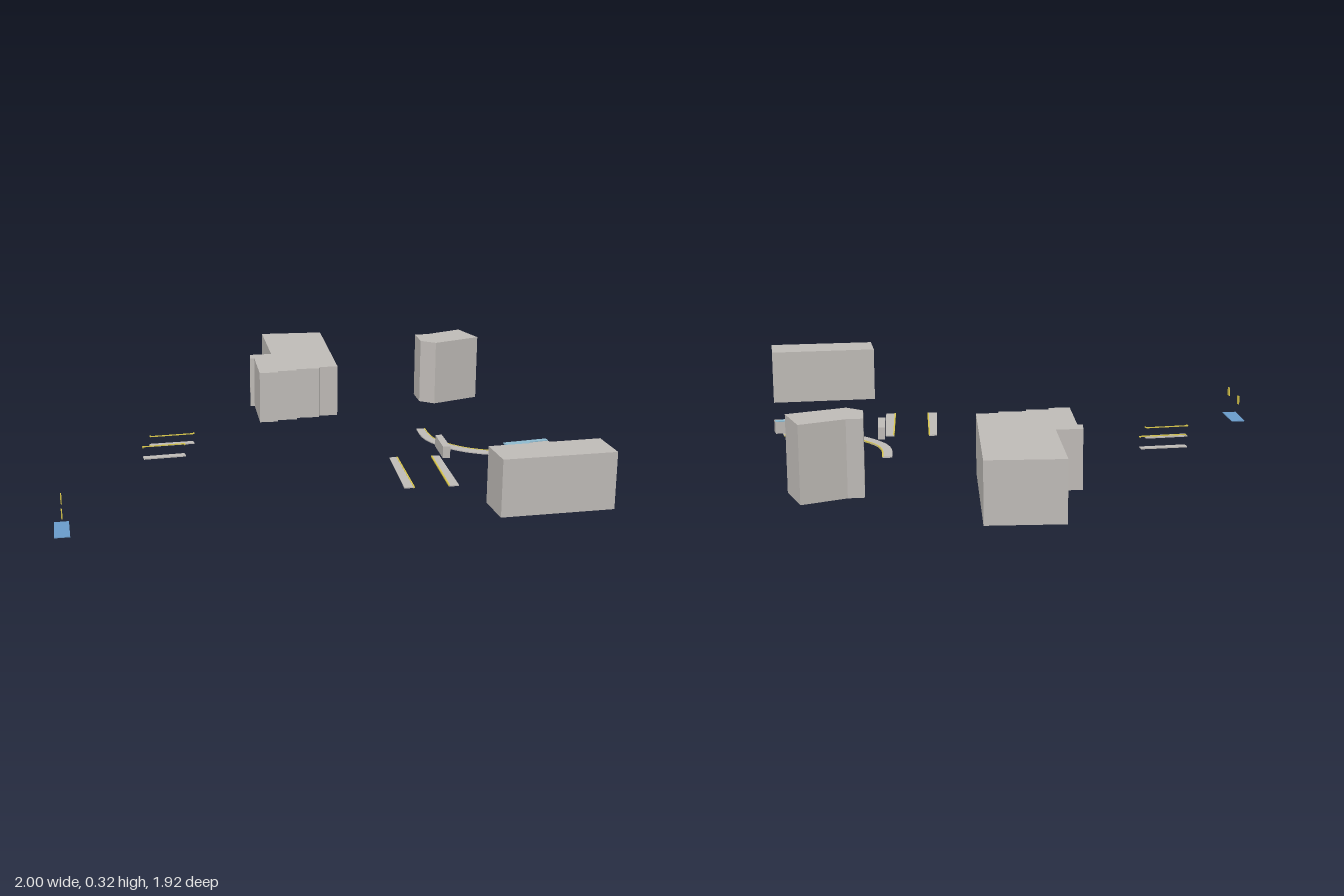
import * as THREE from 'three';

const material = (name, color) => {
  const m = new THREE.MeshStandardMaterial({ color, side: THREE.DoubleSide });
  m.name = name;
  return m;
};

export function createModel() {
  const group = new THREE.Group();
  group.name = 'stationSite';
  const concrete = material('concrete grey', 0xc0bcb8);
  const blue = material('roof blue', 0x6a9ccb);
  const glass = material('canopy light blue', 0x8fbbd0);
  const yellow = material('safety yellow', 0xd8c64a);

  // Upright prism over a ground outline given as [x, z] corners
  const prism = (name, mat, outline, y0, y1) => {
    const shape = new THREE.Shape(outline.map(([x, z]) => new THREE.Vector2(x, -z)));
    const geo = new THREE.ExtrudeGeometry(shape, { depth: y1 - y0, bevelEnabled: false });
    geo.rotateX(-Math.PI / 2);
    geo.translate(0, y0, 0);
    const mesh = new THREE.Mesh(geo, mat);
    mesh.name = name;
    group.add(mesh);
  };

  // Straight bar between two ground points
  const bar = (name, mat, [ax, az], [bx, bz], width, y0, y1) => {
    const dx = bx - ax, dz = bz - az;
    const mesh = new THREE.Mesh(new THREE.BoxGeometry(Math.hypot(dx, dz), y1 - y0, width), mat);
    mesh.position.set((ax + bx) / 2, (y0 + y1) / 2, (az + bz) / 2);
    mesh.rotation.y = -Math.atan2(dz, dx);
    mesh.name = name;
    group.add(mesh);
  };

  // Buildings
  prism('mainBuilding', concrete, [
    [0.404, -0.968], [0.62, -0.857], [0.38, -0.38], [0.315, -0.408], [0.305, -0.395],
    [0.227, -0.433], [0.217, -0.417], [0.152, -0.449], [0.142, -0.433], [0.08, -0.463],
    [0.175, -0.657], [0.16, -0.665], [0.187, -0.71], [0.265, -0.676],
  ], 0.07, 0.265);
  prism('towerBuilding', concrete, [
    [0.80, -0.442], [0.848, -0.422], [0.998, -0.412], [0.982, -0.273], [0.788, -0.292], [0.757, -0.35],
  ], 0.07, 0.318);
  prism('frontBuilding', concrete, [
    [0.238, 0.684], [0.596, 0.823], [0.545, 0.957], [0.19, 0.813],
  ], 0.07, 0.265);

  // Straight platforms with a yellow line along the track side
  prism('westPlatform', concrete, [[0.26, 0.123], [0.286, 0.134], [0.147, 0.417], [0.116, 0.402]], 0.058, 0.062);
  bar('westPlatformLine', yellow, [0.285, 0.134], [0.146, 0.417], 0.005, 0.0575, 0.063);
  prism('eastPlatform', concrete, [[0.396, 0.192], [0.422, 0.203], [0.286, 0.484], [0.254, 0.471]], 0.058, 0.062);
  bar('eastPlatformLine', yellow, [0.396, 0.193], [0.255, 0.471], 0.005, 0.0575, 0.063);
  prism('stairHouse', concrete, [[0.459, 0.132], [0.48, 0.143], [0.422, 0.265], [0.398, 0.254]], 0.07, 0.113);

  // Curved platform and its inner yellow line
  const curve = (points) => new THREE.SplineCurve(points.map(([x, z]) => new THREE.Vector2(x, z)))
    .getPoints(24).map((p) => [p.x, p.y]);
  const outer = curve([[0.53, -0.072], [0.488, 0.02], [0.479, 0.107], [0.505, 0.214], [0.564, 0.3], [0.635, 0.352], [0.732, 0.39]]);
  const inner = curve([[0.56, -0.058], [0.524, 0.025], [0.516, 0.1], [0.543, 0.198], [0.6, 0.278], [0.66, 0.328], [0.738, 0.366]]);
  prism('curvedPlatform', concrete, [...outer, ...inner.slice().reverse()], 0.065, 0.069);
  const lineEdge = inner.map(([x, z], i) => [x + (outer[i][0] - x) * 0.12, z + (outer[i][1] - z) * 0.12]);
  prism('curvedPlatformLine', yellow, [...lineEdge, ...inner.slice().reverse()], 0.0645, 0.07);

  // Shelter at the end of the curve
  prism('shelterRoom', concrete, [[0.684, 0.372], [0.757, 0.393], [0.75, 0.425], [0.676, 0.402]], 0.07, 0.113);
  prism('shelterCanopy', glass, [
    [0.6, 0.342], [0.758, 0.39], [0.753, 0.408], [0.682, 0.387], [0.677, 0.402], [0.592, 0.375],
  ], 0.113, 0.116);
  for (const [x, z] of [[0.602, 0.346], [0.596, 0.372]]) {
    bar('shelterPost', blue, [x, z], [x + 0.003, z + 0.001], 0.003, 0.068, 0.113);
  }

  // Side platforms, each with a raised rail hooked at both ends
  const sidePlatform = (a, b, c, d) => {
    prism('sidePlatform', concrete, [a, b, c, d], 0.065, 0.069);
    bar('sideRail', yellow, a, b, 0.005, 0.103, 0.106);
    for (const [p, q] of [[a, d], [b, c]]) {
      const end = [p[0] + (q[0] - p[0]) * 0.5, p[1] + (q[1] - p[1]) * 0.5];
      bar('railHook', yellow, p, end, 0.004, 0.103, 0.106);
    }
  };
  sidePlatform([-0.4, -0.444], [-0.25, -0.388], [-0.243, -0.41], [-0.393, -0.468]);
  sidePlatform([-0.478, -0.356], [-0.337, -0.306], [-0.345, -0.279], [-0.487, -0.33]);

  // Low blue roof with two signs standing above its ends
  prism('lowRoof', blue, [[-0.944, -0.096], [-0.898, -0.078], [-0.952, 0.048], [-1.0, 0.028]], 0, 0.003);
  bar('sign', yellow, [-0.979, 0.053], [-0.973, 0.036], 0.003, 0.068, 0.1);
  bar('sign', yellow, [-0.923, -0.075], [-0.917, -0.092], 0.003, 0.068, 0.1);

  return group;
}
